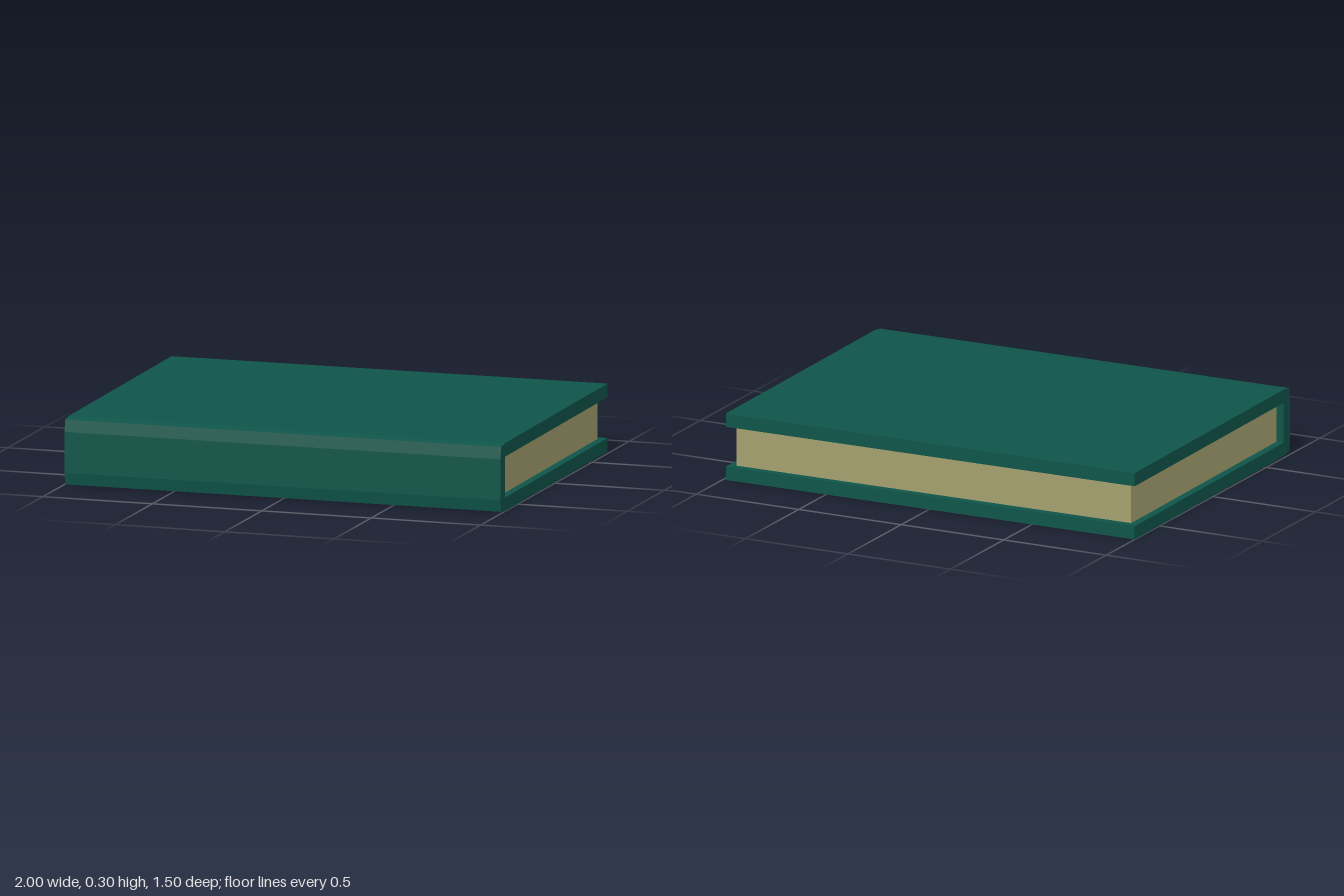
import * as THREE from 'three';

export function createModel() {
  const coverGreen = new THREE.MeshStandardMaterial({ color: 0x0f554a });
  coverGreen.name = 'coverGreen';
  const pageCream = new THREE.MeshStandardMaterial({ color: 0xa5a16f });
  pageCream.name = 'pageCream';

  const width = 1.986, height = 0.3, board = 0.06;
  const back = -0.741, spineInner = 0.679;

  // Lower half of the cover's cross-section as [z, y], from fore edge round to the spine
  const outer = [[back, 0], [0.68, 0], [0.731, 0.007], [0.741, 0.06]];
  const inner = [[spineInner, board], [back, board]];
  const mirror = (pts) => pts.map(([z, y]) => [z, height - y]).reverse();
  const profile = [...outer, ...mirror(outer), ...mirror(inner), ...inner];

  // Extruded along x: shape x becomes -z after the turn
  const shape = new THREE.Shape(profile.map(([z, y]) => new THREE.Vector2(-z, y)));
  const coverGeometry = new THREE.ExtrudeGeometry(shape, { depth: width, bevelEnabled: false });
  coverGeometry.translate(0, 0, -width / 2).rotateY(Math.PI / 2);
  const cover = new THREE.Mesh(coverGeometry, coverGreen);
  cover.name = 'cover';

  // Page block, set in from the three open edges
  const inset = 0.035;
  const pageDepth = spineInner - (back + inset);
  const pages = new THREE.Mesh(
    new THREE.BoxGeometry(width - 2 * inset, height - 2 * board, pageDepth), pageCream);
  pages.position.set(0, height / 2, spineInner - pageDepth / 2);
  pages.name = 'pages';

  // The book lies very slightly turned
  const book = new THREE.Group();
  book.name = 'book';
  book.add(cover, pages);
  book.rotation.y = 0.009;
  const model = new THREE.Group();
  model.add(book);
  return model;
}
